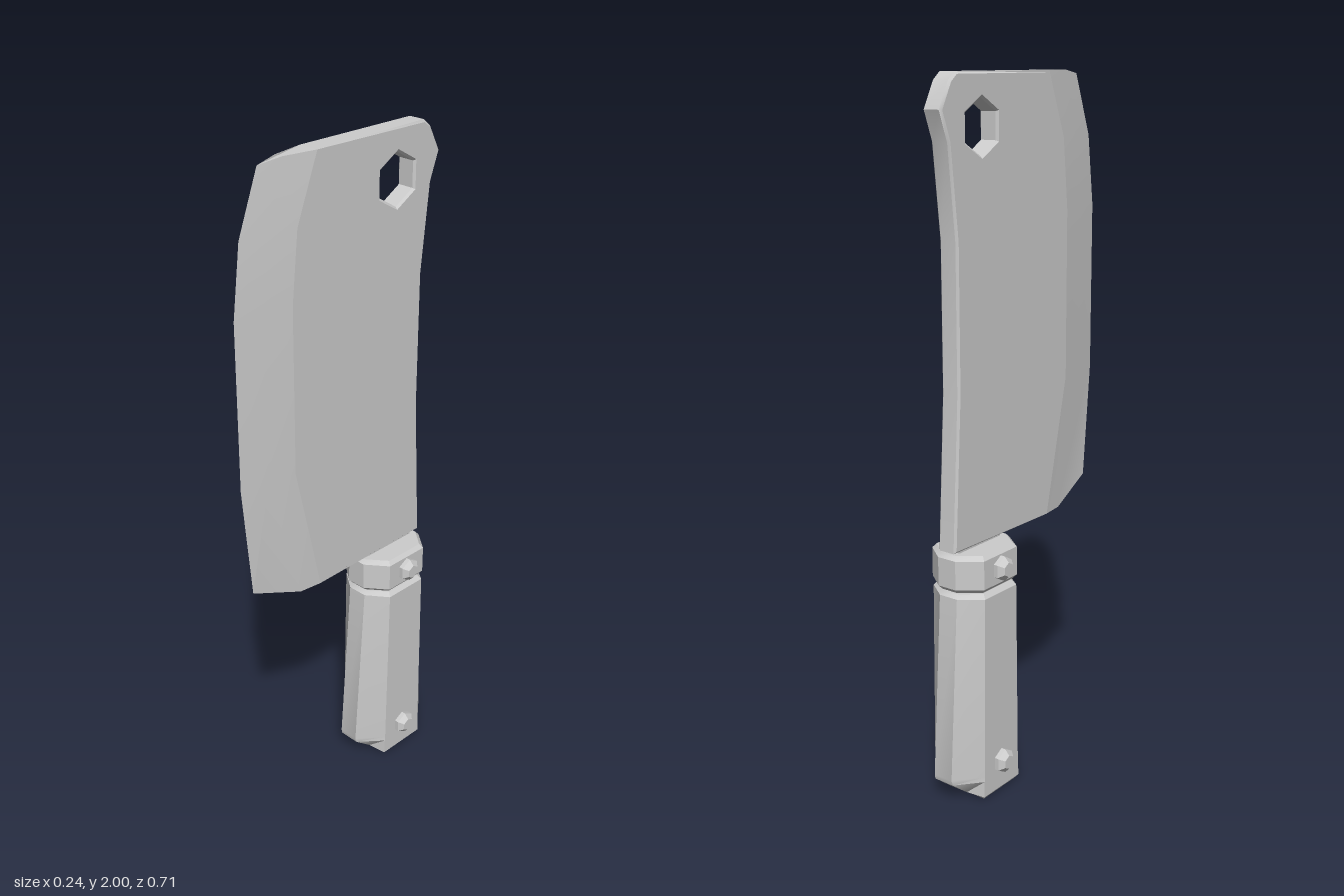
import * as THREE from 'three';
import { toCreasedNormals } from 'three/addons/utils/BufferGeometryUtils.js';

const material = new THREE.MeshStandardMaterial({ color: 0xcccccc });
const GRIP_Z = -0.2; // handle axis
const HALF = 0.03; // half thickness of the blade

function addMesh(parent, name, geometry, crease = 0.6) {
  const mesh = new THREE.Mesh(toCreasedNormals(geometry, crease), material);
  mesh.name = name;
  parent.add(mesh);
  return mesh;
}

// Skin rings of [x, y, z], listed bottom to top, each counterclockwise seen from above
function loft(rings) {
  const out = [];
  const n = rings[0].length;
  const tri = (...points) => points.forEach((p) => out.push(...p));
  for (let i = 0; i < rings.length - 1; i++) {
    for (let j = 0; j < n; j++) {
      const k = (j + 1) % n;
      const [lo, hi] = [rings[i], rings[i + 1]];
      tri(lo[j], lo[k], hi[k]);
      tri(lo[j], hi[k], hi[j]);
    }
  }
  const bottom = rings[0];
  const top = rings[rings.length - 1];
  for (let j = 1; j < n - 1; j++) {
    tri(bottom[0], bottom[j + 1], bottom[j]);
    tri(top[0], top[j], top[j + 1]);
  }
  const geometry = new THREE.BufferGeometry();
  geometry.setAttribute('position', new THREE.Float32BufferAttribute(out, 3));
  return geometry;
}

// Eight-sided grip section: flat cheeks at +-w, narrow front and back at +-d
function gripRing(y, w, flat, nose, d) {
  const quarter = [[w, flat], [nose, d]];
  const half = [[w, -flat], [nose, -d], [-nose, -d], [-w, -flat]];
  const points = [...half, [-w, flat], [-nose, d], quarter[1], quarter[0]];
  return points.map(([x, z]) => [x, y, z + GRIP_Z]);
}

// Rows of the ground edge, bottom to top: start of the taper, middle, cutting edge, as [z, y]
const edgeRows = [
  [[0.1, 0.745], [0.17, 0.745], [0.33, 0.805]],
  [[0.19, 1.14], [0.275, 1.14], [0.36, 1.14]],
  [[0.19, 1.62], [0.275, 1.62], [0.36, 1.62]],
  [[0.17, 1.82], [0.2525, 1.82], [0.335, 1.82]],
  [[0.1, 2], [0.2, 2], [0.27, 1.99]],
];

function bladeBody() {
  const spine = [
    [-0.29, 2], [-0.315, 1.98], [-0.352, 1.91], [-0.322, 1.83],
    [-0.295, 1.58], [-0.295, 1.18], [-0.32, 0.745],
  ];
  const outline = [...spine, ...edgeRows.map((row) => row[0])];
  const shape = new THREE.Shape(outline.map(([z, y]) => new THREE.Vector2(z, y)));
  // Hexagonal hanging hole
  const hole = [];
  for (let i = 0; i < 6; i++) {
    const a = Math.PI / 2 - (i * Math.PI) / 3;
    hole.push(new THREE.Vector2(-0.19 + 0.073 * Math.cos(a), 1.863 + 0.073 * Math.sin(a)));
  }
  shape.holes.push(new THREE.Path(hole));
  const b = 0.006;
  const depth = 2 * (HALF - b);
  const geometry = new THREE.ExtrudeGeometry(shape, {
    depth, bevelThickness: b, bevelSize: b, bevelOffset: -b, bevelSegments: 1,
  });
  geometry.translate(0, 0, -depth / 2).rotateY(-Math.PI / 2);
  // Keep full thickness where the body meets the ground edge
  const p = geometry.attributes.position;
  for (let i = 0; i < p.count; i++) {
    if (p.getZ(i) > 0.09) p.setX(i, Math.sign(p.getX(i)) * HALF);
  }
  return geometry;
}

function bladeEdge() {
  return loft(edgeRows.map(([inner, mid, tip]) => {
    const m = (HALF * (tip[0] - mid[0])) / (tip[0] - inner[0]);
    return [
      [0, tip[1], tip[0]],
      [m, mid[1], mid[0]],
      [HALF, inner[1], inner[0]],
      [-HALF, inner[1], inner[0]],
      [-m, mid[1], mid[0]],
    ];
  }));
}

export function createModel() {
  const group = new THREE.Group();
  group.name = 'cleaver';

  // Blade
  const blade = new THREE.Group();
  blade.name = 'blade';
  group.add(blade);
  addMesh(blade, 'bladeBody', bladeBody());
  addMesh(blade, 'cuttingEdge', bladeEdge(), 0.3);

  // Handle with a flared, sloped butt
  addMesh(group, 'grip', loft([
    gripRing(0, 0.082, 0.07, 0.03, 0.07),
    gripRing(0.012, 0.092, 0.08, 0.034, 0.088),
    gripRing(0.06, 0.092, 0.078, 0.032, 0.147),
    gripRing(0.075, 0.092, 0.077, 0.031, 0.151),
    gripRing(0.613, 0.092, 0.07, 0.03, 0.116),
    gripRing(0.625, 0.082, 0.063, 0.026, 0.106),
  ]));

  // Collar between handle and blade
  addMesh(group, 'collar', loft([
    gripRing(0.63, 0.082, 0.066, 0.026, 0.11),
    gripRing(0.642, 0.092, 0.073, 0.03, 0.121),
    gripRing(0.725, 0.092, 0.073, 0.03, 0.121),
    gripRing(0.737, 0.082, 0.066, 0.026, 0.11),
  ]));

  // Tang joining blade, collar and grip
  const tang = addMesh(group, 'tang', new THREE.BoxGeometry(0.04, 0.2, 0.18));
  tang.position.set(0, 0.66, GRIP_Z);

  // Hexagonal rivets through the handle
  const profile = [[0, -0.12], [0.021, -0.12], [0.036, -0.105], [0.036, 0.105], [0.021, 0.12], [0, 0.12]];
  for (const [name, y] of [['lowerRivet', 0.097], ['collarRivet', 0.685]]) {
    const geometry = new THREE.LatheGeometry(profile.map(([r, h]) => new THREE.Vector2(r, h)), 6);
    geometry.rotateY(Math.PI / 2).rotateZ(Math.PI / 2);
    addMesh(group, name, geometry).position.set(0, y, GRIP_Z);
  }
  return group;
}
